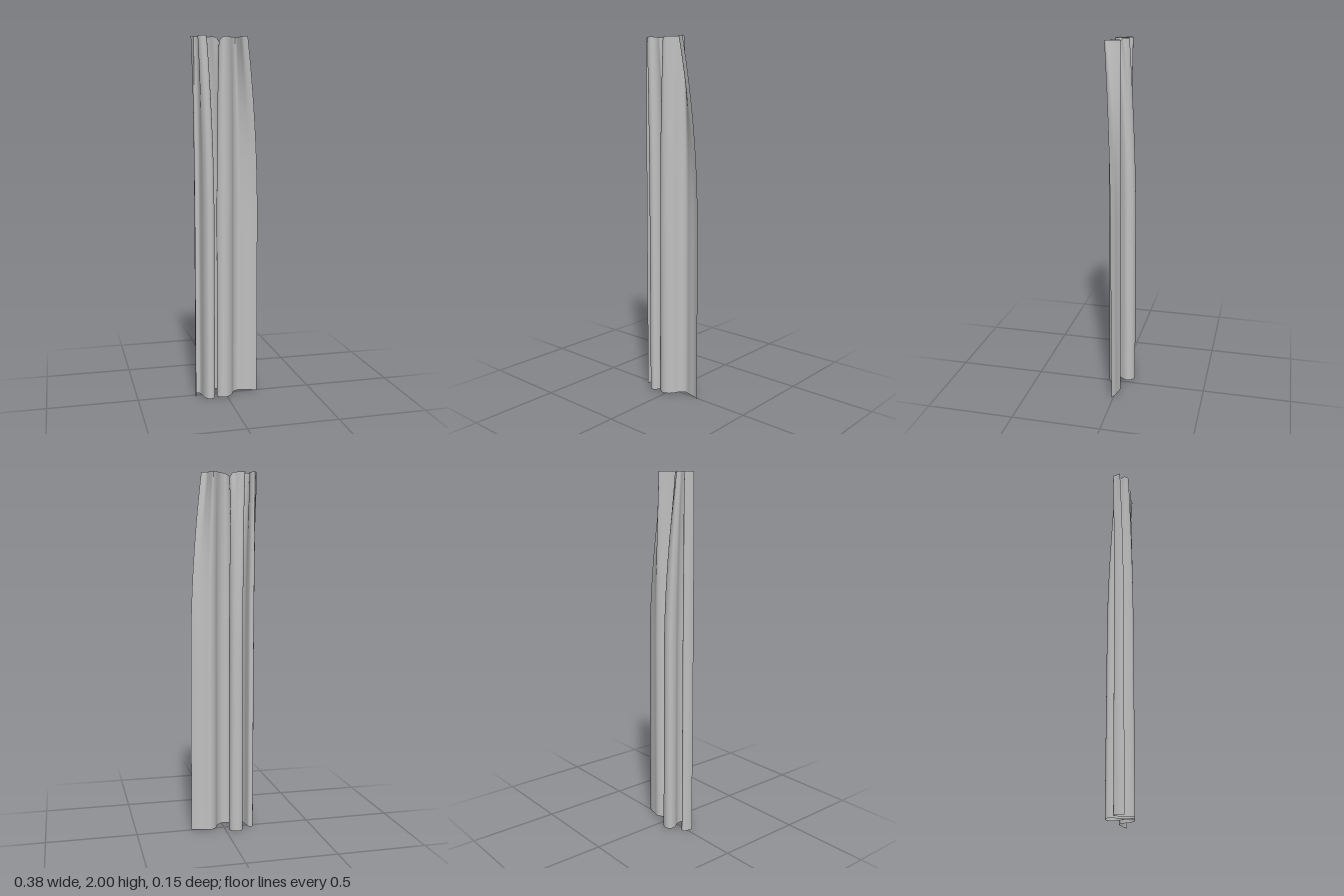
import * as THREE from 'three';

// Fold outlines as x, z pairs, running from the model's right edge to its left hem
const HEM = [
  -0.173, 0.03, -0.172, 0, -0.16, -0.025, -0.142, -0.02, -0.135, 0.005,
  -0.128, 0.045, -0.11, 0.072, -0.085, 0.073, -0.069, 0.05, -0.07, 0.01,
  -0.093, -0.03, -0.092, -0.065, -0.065, -0.077, -0.033, -0.065, -0.022, -0.03,
  -0.045, 0.01, -0.055, 0.045, -0.03, 0.067, 0, 0.065, 0.03, 0.04,
  0.05, 0, 0.08, -0.02, 0.12, -0.012, 0.155, -0.005, 0.188, 0.01,
];
const GATHER = [
  -0.188, 0.008, -0.176, -0.012, -0.165, -0.035, -0.15, -0.02, -0.145, 0.01,
  -0.155, 0.032, -0.14, 0.052, -0.115, 0.05, -0.105, 0.025, -0.11, 0,
  -0.115, -0.015, -0.1, -0.028, -0.08, -0.015, -0.065, 0, -0.045, 0.005,
  -0.035, 0.015, -0.04, 0.035, -0.02, 0.055, 0.01, 0.04, 0.03, 0.015,
  0.045, -0.005, 0.062, -0.018, 0.075, 0.02, 0.085, 0.055, 0.113, 0.057,
];

function outline(pairs) {
  const points = [];
  for (let i = 0; i < pairs.length; i += 2) points.push(new THREE.Vector3(pairs[i], 0, pairs[i + 1]));
  return new THREE.CatmullRomCurve3(points, false, 'centripetal');
}

// Sheet lofted from the straight hem to the gathered top
function drapeGeometry(columns, rows) {
  const hem = outline(HEM);
  const gather = outline(GATHER);
  const positions = [];
  const indices = [];
  const p = new THREE.Vector3();
  for (let r = 0; r <= rows; r++) {
    const v = r / rows;
    const pull = 0.92 * Math.max(0, v * 2 - 1) ** 2 + 0.08 * v;
    for (let c = 0; c <= columns; c++) {
      const u = c / columns;
      p.lerpVectors(hem.getPoint(u), gather.getPoint(u), pull);
      // Shallow sag in the top edge beside the middle fold
      const sag = 0.03 * Math.exp(-(((u - 0.64) / 0.05) ** 2)) * pull ** 4;
      positions.push(p.x, 2 * v - sag, p.z);
      if (r < rows && c < columns) {
        const a = r * (columns + 1) + c;
        const d = a + columns + 1;
        indices.push(a, a + 1, d + 1, a, d + 1, d);
      }
    }
  }
  const geometry = new THREE.BufferGeometry();
  geometry.setAttribute('position', new THREE.Float32BufferAttribute(positions, 3));
  geometry.setIndex(indices);
  geometry.computeVertexNormals();
  return geometry;
}

export function createModel() {
  const fabric = new THREE.MeshStandardMaterial({ color: 0xc0c0c0, side: THREE.DoubleSide });
  fabric.name = 'grey fabric';
  const drape = new THREE.Mesh(drapeGeometry(120, 40), fabric);
  drape.name = 'curtainDrape';
  const group = new THREE.Group();
  group.name = 'curtain';
  group.add(drape);
  return group;
}
